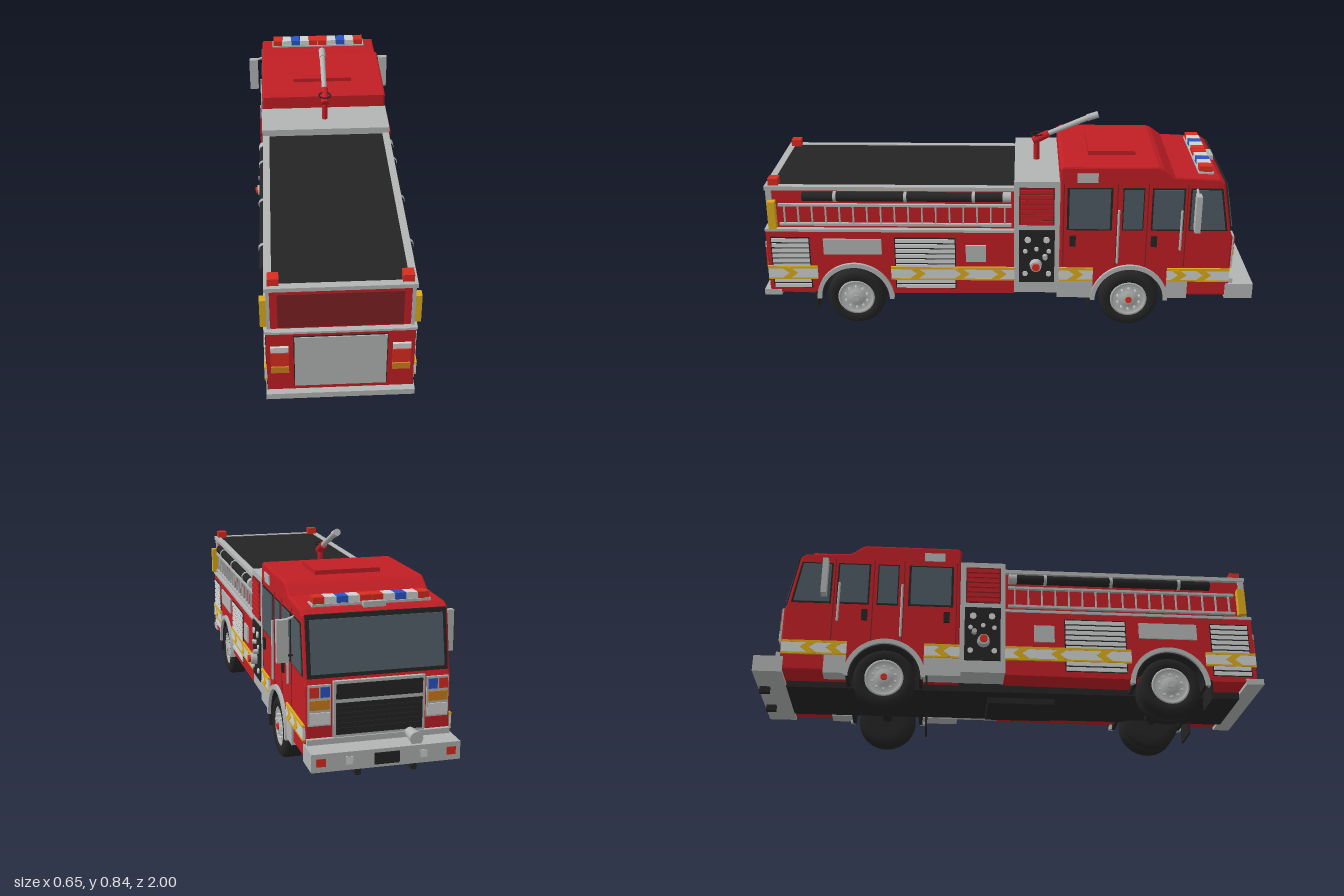
import * as THREE from 'three';

const mat = (name, color) => Object.assign(new THREE.MeshStandardMaterial({ color }), { name });
const RED = mat('body red', 0xc01e24), SILVER = mat('silver', 0xb2b5b4), BLACK = mat('black', 0x242424);
const DARKRED = mat('dark red panel', 0x7c2024), GLASS = mat('glass', 0x4d5a62), YELLOW = mat('yellow', 0xd9aa1c);
const ORANGE = mat('orange lens', 0xcc7d1a), BLUE = mat('blue lens', 0x2854c4), LAMP = mat('red lens', 0xd82c20);
const WHITE = mat('white', 0xcfd1d0);

export function createModel() {
  const truck = new THREE.Group();
  truck.name = 'fireEngine';

  // helpers -------------------------------------------------------------
  const add = (name, geo, m, parent = truck) => {
    const mesh = new THREE.Mesh(geo, m);
    mesh.name = name;
    parent.add(mesh);
    return mesh;
  };
  const box = (name, m, x0, x1, y0, y1, z0, z1) =>
    add(name, new THREE.BoxGeometry(x1 - x0, y1 - y0, z1 - z0)
      .translate((x0 + x1) / 2, (y0 + y1) / 2, (z0 + z1) / 2), m);
  // the same box on both sides of the truck
  const pair = (name, m, x0, x1, y0, y1, z0, z1) => {
    box(name, m, x0, x1, y0, y1, z0, z1);
    box(name, m, -x1, -x0, y0, y1, z0, z1);
  };
  // a side profile in (z, y), extruded across x
  const prism = (name, m, shape, x0, x1, bevel = 0) => {
    const s = Array.isArray(shape) ? new THREE.Shape(shape.map(p => new THREE.Vector2(...p))) : shape;
    const geo = new THREE.ExtrudeGeometry(s, {
      depth: x1 - x0 - 2 * bevel, bevelEnabled: bevel > 0, bevelSize: bevel, bevelThickness: bevel,
      bevelOffset: -bevel, bevelSegments: 2, curveSegments: 24,
    });
    return add(name, geo.rotateY(-Math.PI / 2).translate(x1 - bevel, 0, 0), m);
  };
  const prismPair = (name, m, shape, x0, x1) => {
    prism(name, m, shape, x0, x1);
    prism(name, m, shape, -x1, -x0);
  };
  // a round bar between two points
  const bar = (name, m, a, b, r, r2 = r, seg = 16) => {
    const p = new THREE.Vector3(...a), q = new THREE.Vector3(...b);
    const mesh = add(name, new THREE.CylinderGeometry(r2, r, p.distanceTo(q), seg), m);
    mesh.position.copy(p).lerp(q, 0.5);
    mesh.quaternion.setFromUnitVectors(new THREE.Vector3(0, 1, 0), q.sub(p).normalize());
    return mesh;
  };
  const barPair = (name, m, a, b, r, r2 = r) => [1, -1].forEach(s =>
    bar(name, m, [a[0] * s, a[1], a[2]], [b[0] * s, b[1], b[2]], r, r2));

  const REAR = 0.625, FRONT = -0.495, AXLE = 0.12;
  const outline = (pts, wheelZ) => {
    const s = new THREE.Shape(pts.map(p => new THREE.Vector2(...p)));
    s.absarc(wheelZ, AXLE, 0.142, Math.PI - 0.14, 0.14, true);
    return s;
  };

  // cab -----------------------------------------------------------------
  prism('cab', RED, outline([[-0.205, 0.14], [-0.205, 0.69], [-0.22, 0.7], [-0.59, 0.7], [-0.61, 0.693],
    [-0.655, 0.66], [-0.83, 0.652], [-0.853, 0.635], [-0.89, 0.425], [-0.9, 0.4], [-0.9, 0.14]], FRONT), -0.262, 0.262, 0.008);
  box('roofHatch', RED, -0.125, 0.125, 0.695, 0.716, -0.51, -0.32);
  prism('windshieldSurround', BLACK, [[-0.85, 0.638], [-0.888, 0.425], [-0.895, 0.425], [-0.859, 0.638]], -0.252, 0.252);
  prism('windshield', GLASS, [[-0.858, 0.622], [-0.889, 0.44], [-0.899, 0.44], [-0.866, 0.622]], -0.238, 0.238);
  const windows = [
    [[-0.235, 0.43], [-0.235, 0.612], [-0.415, 0.612], [-0.415, 0.43]],
    [[-0.455, 0.43], [-0.455, 0.612], [-0.54, 0.612], [-0.54, 0.43]],
    [[-0.57, 0.43], [-0.57, 0.612], [-0.7, 0.612], [-0.7, 0.43]],
    [[-0.72, 0.43], [-0.72, 0.612], [-0.845, 0.612], [-0.876, 0.43]],
  ];
  for (const w of windows) {
    const cz = (w[0][0] + w[2][0]) / 2;
    prismPair('windowFrame', BLACK, w, 0.258, 0.264);
    prismPair('sideWindow', GLASS, w.map(([z, y]) => [cz + (z - cz) * 0.9, 0.521 + (y - 0.521) * 0.93]), 0.26, 0.267);
  }
  for (const z of [-0.222, -0.434, -0.555, -0.71]) pair('doorSeam', DARKRED, 0.26, 0.2635, 0.27, 0.63, z - 0.002, z + 0.002);
  for (const z of [-0.26, -0.585]) pair('doorHandle', BLACK, 0.26, 0.27, 0.36, 0.405, z - 0.012, z + 0.012);
  for (const [z, y0, y1] of [[-0.44, 0.29, 0.52], [-0.69, 0.35, 0.52]]) barPair('grabRail', SILVER, [0.272, y0, z], [0.272, y1, z], 0.005);
  pair('roofSidePlate', SILVER, 0.26, 0.266, 0.635, 0.672, -0.355, -0.272);
  pair('cabStep', SILVER, 0.2, 0.268, 0.13, 0.205, -0.345, -0.2);
  pair('frontStep', SILVER, 0.2, 0.268, 0.13, 0.205, -0.73, -0.645);

  // mirrors
  pair('mirror', SILVER, 0.286, 0.326, 0.447, 0.6, -0.757, -0.735);
  barPair('mirrorArm', SILVER, [0.255, 0.61, -0.745], [0.305, 0.593, -0.745], 0.005);
  barPair('mirrorLowerArm', BLACK, [0.255, 0.47, -0.745], [0.29, 0.47, -0.745], 0.004);

  // roof light bar
  box('lightBarBase', SILVER, -0.215, 0.215, 0.652, 0.662, -0.812, -0.752);
  [LAMP, WHITE, BLUE, WHITE, LAMP, LAMP, WHITE, BLUE, WHITE, LAMP].forEach((m, i) => {
    const x = -0.21 + i * 0.042;
    box('lightBarLens', m, x + 0.001, x + 0.041, 0.66, 0.685, -0.808, -0.756);
  });
  box('roofSiren', SILVER, -0.04, 0.04, 0.648, 0.668, -0.838, -0.82);

  // grille and headlights
  box('grilleFrame', SILVER, -0.165, 0.165, 0.215, 0.415, -0.91, -0.895);
  box('grilleTop', BLACK, -0.155, 0.155, 0.352, 0.405, -0.914, -0.905);
  box('grilleBottom', BLACK, -0.155, 0.155, 0.225, 0.338, -0.914, -0.905);
  for (let i = 1; i < 6; i++) box('grilleSlat', BLACK, -0.152, 0.152, 0.228 + i * 0.018, 0.232 + i * 0.018, -0.918, -0.91);
  pair('headlightBezel', SILVER, 0.172, 0.252, 0.26, 0.405, -0.907, -0.895);
  pair('warningLampRed', LAMP, 0.216, 0.248, 0.362, 0.398, -0.911, -0.9);
  pair('warningLampBlue', BLUE, 0.177, 0.21, 0.362, 0.398, -0.911, -0.9);
  pair('turnSignal', ORANGE, 0.177, 0.248, 0.318, 0.352, -0.911, -0.9);
  pair('headlight', WHITE, 0.177, 0.248, 0.267, 0.308, -0.911, -0.9);

  // bumper
  box('bumper', SILVER, -0.265, 0.265, 0.13, 0.195, -0.998, -0.885);
  box('bumperUpper', SILVER, -0.258, 0.258, 0.19, 0.215, -0.915, -0.88);
  box('winchOpening', BLACK, -0.045, 0.045, 0.14, 0.182, -1, -0.99);
  pair('bumperMarker', LAMP, 0.215, 0.248, 0.15, 0.178, -1, -0.99);
  pair('bumperLamp', WHITE, 0.12, 0.145, 0.15, 0.178, -1, -0.99);
  pair('towHook', BLACK, 0.09, 0.11, 0.105, 0.14, -0.99, -0.95);
  bar('sirenHorn', SILVER, [-0.11, 0.213, -0.91], [-0.11, 0.213, -0.985], 0.018, 0.024);

  // pump housing --------------------------------------------------------
  box('pumpHousing', SILVER, -0.264, 0.264, 0.15, 0.636, -0.207, -0.025);
  pair('pumpPanel', BLACK, 0.26, 0.27, 0.2, 0.43, -0.188, -0.045);
  pair('pumpShutter', DARKRED, 0.26, 0.267, 0.452, 0.612, -0.185, -0.045);
  for (let i = 0; i < 7; i++) pair('shutterSlat', RED, 0.26, 0.272, 0.456 + i * 0.022, 0.472 + i * 0.022, -0.18, -0.05);
  for (const [z, y, r] of [[-0.08, 0.39, 0.013], [-0.155, 0.39, 0.013], [-0.07, 0.34, 0.009], [-0.165, 0.34, 0.009],
    [-0.115, 0.35, 0.009], [-0.07, 0.24, 0.011], [-0.165, 0.24, 0.011]]) {
    barPair('gauge', WHITE, [0.265, y, z], [0.276, y, z], r);
  }
  barPair('intakeFlange', SILVER, [0.265, 0.28, -0.113], [0.295, 0.28, -0.113], 0.026, 0.022);
  barPair('intakeCap', LAMP, [0.293, 0.28, -0.113], [0.304, 0.28, -0.113], 0.015);
  barPair('outlet', SILVER, [0.265, 0.318, -0.15], [0.29, 0.318, -0.15], 0.01);

  // water cannon
  bar('cannonBase', RED, [0, 0.63, -0.115], [0, 0.735, -0.115], 0.012);
  bar('cannonJoint', RED, [0, 0.715, -0.1], [0, 0.748, -0.165], 0.016);
  bar('cannonBarrel', SILVER, [0, 0.742, -0.15], [0, 0.825, -0.345], 0.01, 0.012);
  bar('cannonNozzle', SILVER, [0, 0.815, -0.32], [0, 0.83, -0.365], 0.014);
  const handwheel = add('cannonHandwheel', new THREE.TorusGeometry(0.024, 0.003, 8, 24), BLACK);
  handwheel.rotation.x = Math.PI / 2;
  handwheel.position.set(0, 0.745, -0.115);

  // rear body -----------------------------------------------------------
  prism('rearBody', RED, outline([[0.975, 0.15], [0.975, 0.42], [-0.025, 0.42], [-0.025, 0.14]].reverse()
    .concat([]), REAR).clone && outline([[0.975, 0.145], [0.975, 0.42], [-0.028, 0.42], [-0.028, 0.145]], REAR), -0.261, 0.261);
  box('hoseBedWalls', RED, -0.245, 0.245, 0.415, 0.598, -0.028, 0.957);
  pair('bodyLedge', SILVER, 0.24, 0.266, 0.417, 0.428, -0.028, 0.975);
  box('rearLedge', SILVER, -0.262, 0.262, 0.417, 0.426, 0.95, 0.978);
  pair('topRail', SILVER, 0.235, 0.262, 0.594, 0.61, -0.028, 0.965);
  box('rearTopRail', SILVER, -0.262, 0.262, 0.594, 0.61, 0.938, 0.965);
  box('hoseBedCover', BLACK, -0.236, 0.236, 0.59, 0.607, -0.028, 0.94);
  pair('cornerLamp', LAMP, 0.21, 0.25, 0.608, 0.638, 0.91, 0.95);
  pair('cornerPost', YELLOW, 0.25, 0.279, 0.435, 0.55, 0.925, 0.955);
  pair('rearPost', SILVER, 0.244, 0.256, 0.425, 0.6, 0.94, 0.962);

  // ladder and suction hose on both sides
  for (const y of [0.447, 0.53]) pair('ladderRail', SILVER, 0.248, 0.262, y - 0.005, y + 0.005, -0.015, 0.915);
  for (let i = 0; i < 17; i++) pair('ladderRung', SILVER, 0.25, 0.258, 0.447, 0.53, 0.01 + i * 0.055, 0.016 + i * 0.055);
  barPair('suctionHose', BLACK, [0.258, 0.568, 0.02], [0.258, 0.568, 0.815], 0.019);
  barPair('hoseEnd', SILVER, [0.258, 0.568, -0.012], [0.258, 0.568, 0.02], 0.021);
  for (const z of [0.13, 0.4, 0.68]) barPair('hoseClamp', SILVER, [0.258, 0.568, z], [0.258, 0.568, z + 0.012], 0.022);

  // roller shutters and hatches
  for (const [z0, z1] of [[0.8, 0.958], [0.21, 0.458]]) {
    pair('shutterBack', BLACK, 0.258, 0.263, 0.165, 0.392, z0, z1);
    for (let i = 0; i < 10; i++) pair('shutterSlat', WHITE, 0.258, 0.267, 0.168 + i * 0.0225, 0.184 + i * 0.0225, z0 + 0.004, z1 - 0.004);
  }
  pair('sidePlate', SILVER, 0.258, 0.267, 0.318, 0.385, 0.51, 0.745);
  pair('fuelHatch', SILVER, 0.258, 0.267, 0.288, 0.36, 0.088, 0.17);

  // reflective stripe with chevrons
  for (const [z0, z1] of [[0.775, 0.976], [-0.028, 0.475], [-0.345, -0.207], [-0.897, -0.645]]) {
    pair('stripe', WHITE, 0.26, 0.269, 0.212, 0.256, z0, z1);
    pair('stripeTopEdge', YELLOW, 0.26, 0.27, 0.254, 0.264, z0, z1);
    pair('stripeBottomEdge', YELLOW, 0.26, 0.27, 0.206, 0.213, z0, z1);
  }
  for (const z of [0.9, 0.38, 0.2, 0.05, -0.26, -0.68, -0.78]) {
    prismPair('chevron', YELLOW, [[z + 0.02, 0.212], [z - 0.01, 0.235], [z + 0.02, 0.258],
      [z - 0.015, 0.258], [z - 0.045, 0.235], [z - 0.015, 0.212]], 0.263, 0.271);
  }

  // tail
  box('rearUpperPanel', DARKRED, -0.218, 0.218, 0.432, 0.578, 0.952, 0.96);
  box('rearDoorFrame', BLACK, -0.165, 0.165, 0.173, 0.405, 0.97, 0.978);
  box('rearDoor', SILVER, -0.162, 0.162, 0.176, 0.402, 0.973, 0.982);
  pair('reverseLamp', WHITE, 0.182, 0.246, 0.338, 0.361, 0.97, 0.984);
  pair('brakeLamp', LAMP, 0.182, 0.246, 0.274, 0.334, 0.97, 0.984);
  pair('rearTurnSignal', ORANGE, 0.182, 0.246, 0.242, 0.269, 0.97, 0.984);
  box('tailboard', SILVER, -0.265, 0.265, 0.132, 0.156, 0.93, 1);

  // underside -----------------------------------------------------------
  box('chassis', BLACK, -0.15, 0.15, 0.115, 0.16, -0.88, 0.93);
  box('tank', BLACK, -0.095, 0.095, 0.09, 0.15, -0.085, 0.185);
  for (const z of [REAR, FRONT]) {
    bar('axle', BLACK, [-0.2, AXLE, z], [0.2, AXLE, z], 0.022);
    box('differential', BLACK, -0.045, 0.045, 0.083, 0.14, z - 0.045, z + 0.045);
    const ring = (r0, r1) => {
      const s = new THREE.Shape();
      s.absarc(z, AXLE, r1, 0, Math.PI, false);
      s.absarc(z, AXLE, r0, Math.PI, 0, true);
      return s;
    };
    prismPair('wheelWell', BLACK, ring(0.134, 0.148), 0.1, 0.2625);
    prismPair('wheelArch', SILVER, ring(0.14, 0.158), 0.25, 0.274);
    pair('mudFlap', BLACK, 0.13, 0.265, 0.066, 0.145, z + 0.16, z + 0.168);
  }

  // wheels --------------------------------------------------------------
  const lathe = pts => new THREE.LatheGeometry(pts.map(p => new THREE.Vector2(...p)), 40).rotateZ(-Math.PI / 2);
  const tyre = w => lathe([[0.001, -w], [0.075, -w], [0.105, -w], [0.116, -w + 0.01], [0.119, -w + 0.016],
    [0.119, w - 0.016], [0.116, w - 0.01], [0.105, w], [0.078, w], [0.074, w - 0.014], [0.001, w - 0.014]]);
  const rim = lathe([[0.075, 0.028], [0.075, 0.038], [0.066, 0.038], [0.06, 0.03], [0.03, 0.034], [0.028, 0.042], [0.001, 0.042]]);
  const buildWheel = (side, z, rear) => {
    const wheel = new THREE.Group();
    wheel.name = rear ? 'rearWheel' : 'frontWheel';
    add('tyre', tyre(0.042), BLACK, wheel);
    add('rim', rim, SILVER, wheel);
    for (let i = 0; i < 10; i++) {
      const a = i * Math.PI / 5;
      add('wheelNut', new THREE.CylinderGeometry(0.005, 0.005, 0.012, 8).rotateZ(Math.PI / 2)
        .translate(0.036, Math.cos(a) * 0.046, Math.sin(a) * 0.046), WHITE, wheel);
    }
    add('hubCap', new THREE.CylinderGeometry(0.013, 0.013, 0.01, 16).rotateZ(Math.PI / 2).translate(0.043, 0, 0),
      rear ? SILVER : LAMP, wheel);
    if (rear) add('innerTyre', tyre(0.025).translate(-0.071, 0, 0), BLACK, wheel);
    wheel.position.set(side * 0.222, 0.119, z);
    if (side < 0) wheel.rotation.y = Math.PI;
    truck.add(wheel);
  };
  for (const side of [1, -1]) {
    buildWheel(side, REAR, true);
    buildWheel(side, FRONT, false);
  }
  return truck;
}
